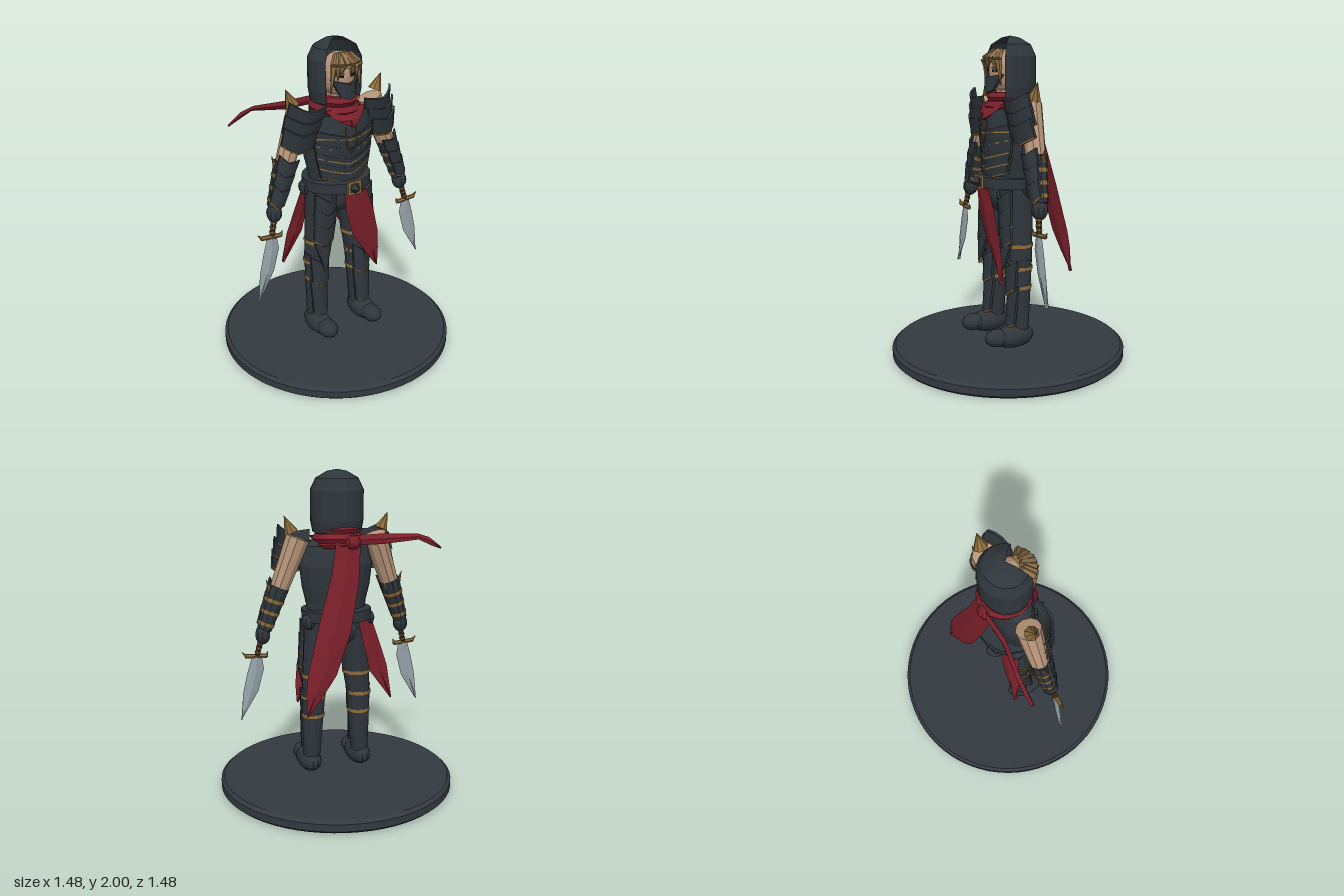
import * as THREE from 'three';

const mat = (name, color, side = THREE.FrontSide) => {
  const m = new THREE.MeshStandardMaterial({ color, flatShading: true, side });
  m.name = name;
  return m;
};
const V = (x, y, z) => new THREE.Vector3(x, y, z);

export function createModel() {
  const root = new THREE.Group();
  root.name = 'hoodedFighter';
  const dark = mat('darkArmour', 0x2f363c, THREE.DoubleSide);
  const baseMat = mat('baseSlate', 0x343a41);
  const red = mat('redCloth', 0x7c202b, THREE.DoubleSide);
  const skin = mat('skin', 0xb8957a);
  const gold = mat('agedGold', 0x8f6d3c);
  const hairMat = mat('sandyHair', 0x8e7049);
  const steel = mat('steel', 0x98a4ac, THREE.DoubleSide);
  const leather = mat('gripLeather', 0x3c2c22);
  const black = mat('eyeBlack', 0x1c1718);

  const add = (name, geo, m, pos = [0, 0, 0], rot = [0, 0, 0], scale = [1, 1, 1], parent = root) => {
    const mesh = new THREE.Mesh(geo, m);
    mesh.name = name;
    mesh.position.set(...pos);
    mesh.rotation.set(...rot);
    mesh.scale.set(...scale);
    parent.add(mesh);
    return mesh;
  };
  const ball = (name, m, pos, size, w = 14, h = 10) =>
    add(name, new THREE.SphereGeometry(1, w, h), m, pos, [0, 0, 0], size);

  // Tapered prism from point a to point b
  const limb = (name, m, a, b, ra, rb, sides = 10) => {
    const A = V(...a), B = V(...b), d = B.clone().sub(A);
    const mesh = add(name, new THREE.CylinderGeometry(rb, ra, d.length(), sides), m);
    mesh.position.copy(A.add(B).multiplyScalar(0.5));
    mesh.quaternion.setFromUnitVectors(V(0, 1, 0), d.normalize());
    return mesh;
  };

  // Armour plate: a box curved around the body, with a V edge, a taper and gold trim below
  const plate = (name, pos, w, h, { v = 0.03, k = 2, taper = 0.9, rot = [0, 0, 0], trim = true, d = 0.016 } = {}) => {
    const g = new THREE.Group();
    g.name = name;
    g.position.set(...pos);
    g.rotation.set(...rot);
    root.add(g);
    const bent = (hh, yc, depth) => {
      const geo = new THREE.BoxGeometry(w, hh, depth, 6, 1, 1).translate(0, yc, 0);
      const p = geo.attributes.position;
      for (let i = 0; i < p.count; i++) {
        const t = p.getY(i) / h + 0.5;
        const x = p.getX(i) * (taper + (1 - taper) * t);
        p.setXYZ(i, x, p.getY(i) + v * (Math.abs(p.getX(i)) / (w / 2) - 0.5), p.getZ(i) - k * x * x);
      }
      geo.computeVertexNormals();
      return geo;
    };
    add('plate', bent(h, 0, d), dark, [0, 0, 0], [0, 0, 0], [1, 1, 1], g);
    if (trim) add('trim', bent(0.008, -h / 2 + 0.003, d + 0.006), gold, [0, 0, 0], [0, 0, 0], [1, 1, 1], g);
  };

  // Ridged strip through pairs of edge points [left, right]
  const strip = (name, m, rows, d) => {
    const pos = [], idx = [];
    for (const [l, r] of rows) {
      const mid = l.map((c, i) => (c + r[i]) / 2);
      pos.push(...l, mid[0], mid[1], mid[2] + d, ...r, mid[0], mid[1], mid[2] - d);
    }
    for (let i = 0; i < rows.length - 1; i++)
      for (let j = 0; j < 4; j++) {
        const a = i * 4 + j, b = i * 4 + (j + 1) % 4;
        idx.push(a, a + 4, b, b, a + 4, b + 4);
      }
    const geo = new THREE.BufferGeometry();
    geo.setAttribute('position', new THREE.Float32BufferAttribute(pos, 3));
    geo.setIndex(idx);
    geo.computeVertexNormals();
    add(name, geo, m);
  };
  const lathe = (pts, seg, start, len) =>
    new THREE.LatheGeometry(pts.map(p => new THREE.Vector2(...p)), seg, start, len);

  // Base disc
  add('base', lathe([[0, 0], [0.72, 0], [0.74, 0.018], [0.74, 0.062], [0.72, 0.08], [0, 0.08]], 64), baseMat);

  // Torso, pelvis and belt
  add('torso', lathe([[0, 1.06], [0.18, 1.08], [0.195, 1.2], [0.22, 1.3], [0.235, 1.43], [0.2, 1.55], [0.1, 1.62], [0, 1.64]], 18),
    dark, [0, 0, 0], [0, 0, 0], [1, 1, 0.54]);
  ball('pelvis', dark, [0, 1.03, 0], [0.19, 0.12, 0.125]);
  add('belt', new THREE.CylinderGeometry(0.22, 0.22, 0.065, 22), dark, [0, 1.125, 0], [0, 0, 0], [1, 1, 0.89]);
  add('buckle', new THREE.BoxGeometry(0.095, 0.085, 0.014), gold, [0, 1.125, 0.2]);
  add('buckleInset', new THREE.BoxGeometry(0.065, 0.055, 0.008), dark, [0, 1.125, 0.206]);
  limb('buckleStud', dark, [0, 1.125, 0.207], [0, 1.125, 0.255], 0.036, 0.002, 4);

  // Chest and belly plates
  plate('collarPlate', [0, 1.5, 0.145], 0.38, 0.14, { v: 0.03, k: 1.7, rot: [-0.15, 0, 0], taper: 1.05 });
  [[1.41, 0.43], [1.335, 0.42], [1.27, 0.4], [1.21, 0.37]].forEach(([y, w], i) =>
    plate('bellyPlate', [0, y, 0.158 - i * 0.004], w, 0.1, { v: 0.045, k: 1.9, rot: [0.1, 0, 0] }));
  for (const s of [-1, 1]) {
    limb('chestTrim', gold, [0.035 * s, 1.5, 0.16], [0.035 * s, 1.4, 0.172], 0.004, 0.004, 4);
    limb('chestTrim', gold, [0.035 * s, 1.4, 0.172], [0, 1.34, 0.174], 0.004, 0.004, 4);
  }

  // Head, mask, eyes, hair and hood
  limb('neck', skin, [0, 1.55, 0], [0, 1.72, 0.02], 0.065, 0.065);
  ball('head', skin, [0, 1.785, 0.02], [0.1, 0.135, 0.1], 16, 12);
  plate('mask', [0, 1.715, 0.14], 0.18, 0.095, { v: 0.02, k: 7, taper: 0.55, trim: false, d: 0.022 });
  for (const s of [-1, 1]) {
    add('eye', new THREE.BoxGeometry(0.036, 0.013, 0.008), black, [0.042 * s, 1.795, 0.113], [0, 0.35 * s, 0.1 * s]);
    add('eyebrow', new THREE.BoxGeometry(0.045, 0.008, 0.008), hairMat, [0.043 * s, 1.815, 0.113], [0, 0.35 * s, 0.2 * s]);
  }
  [[-0.09, 1.69], [-0.07, 1.77], [-0.045, 1.8], [-0.015, 1.84], [0.015, 1.81], [0.045, 1.84], [0.068, 1.78], [0.09, 1.7]]
    .forEach(([x, y], i) => {
      const z = 0.14 - 5 * x * x, m = [x * 0.95, 1.86, z + 0.01];
      limb('hairRoot', hairMat, [x * 0.45, 1.915, 0.06 + 0.01 * (i % 2)], m, 0.016, 0.022, 5);
      limb('hairLock', hairMat, m, [x * 1.02 + 0.008 * (i % 2 ? 1 : -1), y, z], 0.022, 0.001, 5);
    });
  const gap = 0.87;
  add('hood', lathe([[0.15, 1.63], [0.163, 1.7], [0.163, 1.88], [0.13, 1.948], [0.06, 1.988], [0, 2]], 14, gap, Math.PI * 2 - gap * 2),
    dark, [0, 0, -0.015], [0, 0, 0], [1, 1, 0.95]);

  // Scarf with its knot, chest drape and two tails
  [[0.118, 0.036, 1.59], [0.11, 0.032, 1.645], [0.12, 0.026, 1.555]].forEach(([R, r, y]) =>
    add('scarf', new THREE.TorusGeometry(R, r, 6, 18), red, [0, y, -0.02], [Math.PI / 2 + 0.06, 0, 0], [1, 1.08, 1]));
  strip('scarfDrape', red, [[[-0.14, 1.6, 0.1], [0.14, 1.6, 0.1]], [[-0.08, 1.54, 0.15], [0.08, 1.54, 0.15]], [[0, 1.5, 0.165], [0.01, 1.5, 0.165]]], 0.018);
  ball('scarfKnot', red, [-0.04, 1.58, -0.175], [0.05, 0.045, 0.035], 8, 6);
  strip('longTail', red, [
    [[-0.1, 1.59, -0.15], [0.06, 1.6, -0.16]], [[-0.07, 1.35, -0.2], [0.1, 1.4, -0.19]],
    [[0.0, 1.05, -0.245], [0.2, 1.1, -0.23]], [[0.1, 0.8, -0.265], [0.28, 0.82, -0.265]],
    [[0.19, 0.68, -0.275], [0.295, 0.72, -0.275]], [[0.285, 0.57, -0.285], [0.295, 0.57, -0.285]]], 0.012);
  strip('shortTail', red, [
    [[-0.05, 1.62, -0.17], [-0.05, 1.56, -0.18]], [[-0.25, 1.62, -0.15], [-0.25, 1.56, -0.17]],
    [[-0.46, 1.615, -0.18], [-0.46, 1.58, -0.2]], [[-0.54, 1.59, -0.185], [-0.56, 1.535, -0.2]],
    [[-0.62, 1.53, -0.185], [-0.62, 1.515, -0.185]]], 0.012);

  // Waist cloths
  strip('frontCloth', red, [
    [[-0.06, 1.09, 0.185], [0.1, 1.09, 0.185]], [[-0.04, 0.95, 0.18], [0.16, 0.95, 0.175]],
    [[0.02, 0.78, 0.165], [0.205, 0.78, 0.165]], [[0.12, 0.64, 0.155], [0.22, 0.64, 0.155]],
    [[0.205, 0.52, 0.15], [0.212, 0.52, 0.15]]], 0.016);
  strip('sideCloth', red, [
    [[-0.22, 1.08, -0.05], [-0.1, 1.08, -0.12]], [[-0.27, 0.92, -0.07], [-0.14, 0.92, -0.12]],
    [[-0.31, 0.78, -0.09], [-0.18, 0.76, -0.12]], [[-0.33, 0.57, -0.12], [-0.322, 0.57, -0.12]]], 0.014);

  for (const s of [-1, 1]) {
    const P = (x, y, z) => [x * s, y, z];

    // Legs and feet with straps
    limb('thigh', dark, P(0.1, 1.08, 0), P(0.15, 0.62, 0), 0.108, 0.076, 12);
    limb('shin', dark, P(0.15, 0.65, 0), P(0.165, 0.2, 0.005), 0.078, 0.055, 12);
    ball('shoe', dark, P(0.17, 0.165, 0.05), [0.073, 0.073, 0.135]);
    ball('toe', dark, P(0.17, 0.17, 0.165), [0.062, 0.055, 0.08]);
    [[0.6, 0.079], [0.48, 0.073], [0.74, 0.089]].forEach(([y, r]) =>
      add('legStrap', new THREE.CylinderGeometry(r, r, 0.022, 12), gold, P(y > 0.7 ? 0.137 : 0.155, y, 0)));
    [[0.13, 0.99, 0.17], [0.14, 0.9, 0.165], [0.148, 0.81, 0.155]].forEach(([x, y, w]) =>
      plate('thighPlate', P(x, y, 0.118), w, 0.13, { v: 0.05, k: 5, rot: [0.06, 0, 0.1 * s] }));
    plate('kneeGuard', P(0.157, 0.665, 0.12), 0.13, 0.17, { v: 0.03, k: 6, taper: 0.2 });
    plate('shinPlate', P(0.158, 0.54, 0.085), 0.135, 0.18, { v: 0.04, k: 7, taper: 0.85 });
    plate('shinPlate', P(0.163, 0.355, 0.08), 0.125, 0.25, { v: 0.03, k: 7, taper: 0.8, rot: [-0.06, 0, 0] });
    ball('pouch', dark, P(0.195, 1.09, -0.04), [0.045, 0.05, 0.055], 8, 6);

    // Arms with forearm straps and plates
    limb('upperArm', skin, P(0.25, 1.6, -0.01), P(0.375, 1.27, 0.01), 0.075, 0.057, 10);
    const elbow = V(0.365, 1.31, 0.01), wrist = V(0.455, 1.05, 0.03);
    const along = t => { const p = elbow.clone().lerp(wrist, t); return P(p.x, p.y, p.z); };
    limb('forearm', dark, along(0), along(1), 0.066, 0.046, 10);
    [0.28, 0.55, 0.82].forEach(t => {
      const r = 0.07 - 0.02 * t;
      limb('forearmStrap', gold, along(t), along(t + 0.08), r, r - 0.002, 10);
    });
    [0.1, 0.42, 0.74].forEach((t, i) => {
      const [x, y, z] = along(t);
      plate('forearmPlate', [x + 0.012 * s, y, z + 0.066 - i * 0.006], 0.125 - i * 0.012, 0.11,
        { v: 0.025, k: 8, rot: [0, 0.3 * s, 0.33 * s] });
    });
    limb('elbowSpike', gold, P(0.415, 1.27, 0), P(0.447, 1.36, 0), 0.02, 0.001, 6);
    ball('hand', dark, P(0.463, 1.015, 0.04), [0.047, 0.06, 0.05], 10, 8);

    // Shoulder armour and spike
    [[0.265, 1.58, 0.225], [0.29, 1.51, 0.225], [0.31, 1.44, 0.2]].forEach(([x, y, w], i) =>
      plate('shoulderPlate', P(x, y, 0.115 - i * 0.006), w, 0.115, { v: 0.025, k: 4, rot: [0.2, 0.25 * s, 0.14 * s], taper: 1 }));
    limb('shoulderSpike', gold, P(0.292, 1.635, -0.015), P(0.335, 1.735, -0.015), 0.043, 0.001, 8);

    // Dagger
    limb('daggerGrip', leather, P(0.468, 0.99, 0.05), P(0.497, 0.88, 0.062), 0.018, 0.016, 8);
    [0.25, 0.5, 0.75].forEach(t =>
      limb('gripRing', gold, P(0.468 + 0.029 * t, 0.99 - 0.11 * t, 0.05 + 0.012 * t),
        P(0.47 + 0.029 * t, 0.982 - 0.11 * t, 0.051 + 0.012 * t), 0.02, 0.02, 8));
    limb('daggerGuard', gold, P(0.435, 0.872, 0.064), P(0.57, 0.882, 0.064), 0.014, 0.014, 6);
    limb('guardTip', gold, P(0.438, 0.868, 0.064), P(0.425, 0.902, 0.064), 0.013, 0.001, 6);
    limb('guardTip', gold, P(0.562, 0.88, 0.064), P(0.592, 0.91, 0.064), 0.013, 0.001, 6);
    strip('daggerBlade', steel, [
      [P(0.53, 0.87, 0.064), P(0.465, 0.87, 0.064)], [P(0.56, 0.77, 0.066), P(0.453, 0.79, 0.066)],
      [P(0.588, 0.65, 0.068), P(0.492, 0.65, 0.068)], [P(0.604, 0.475, 0.07), P(0.602, 0.475, 0.07)]], 0.011);
  }
  return root;
}
